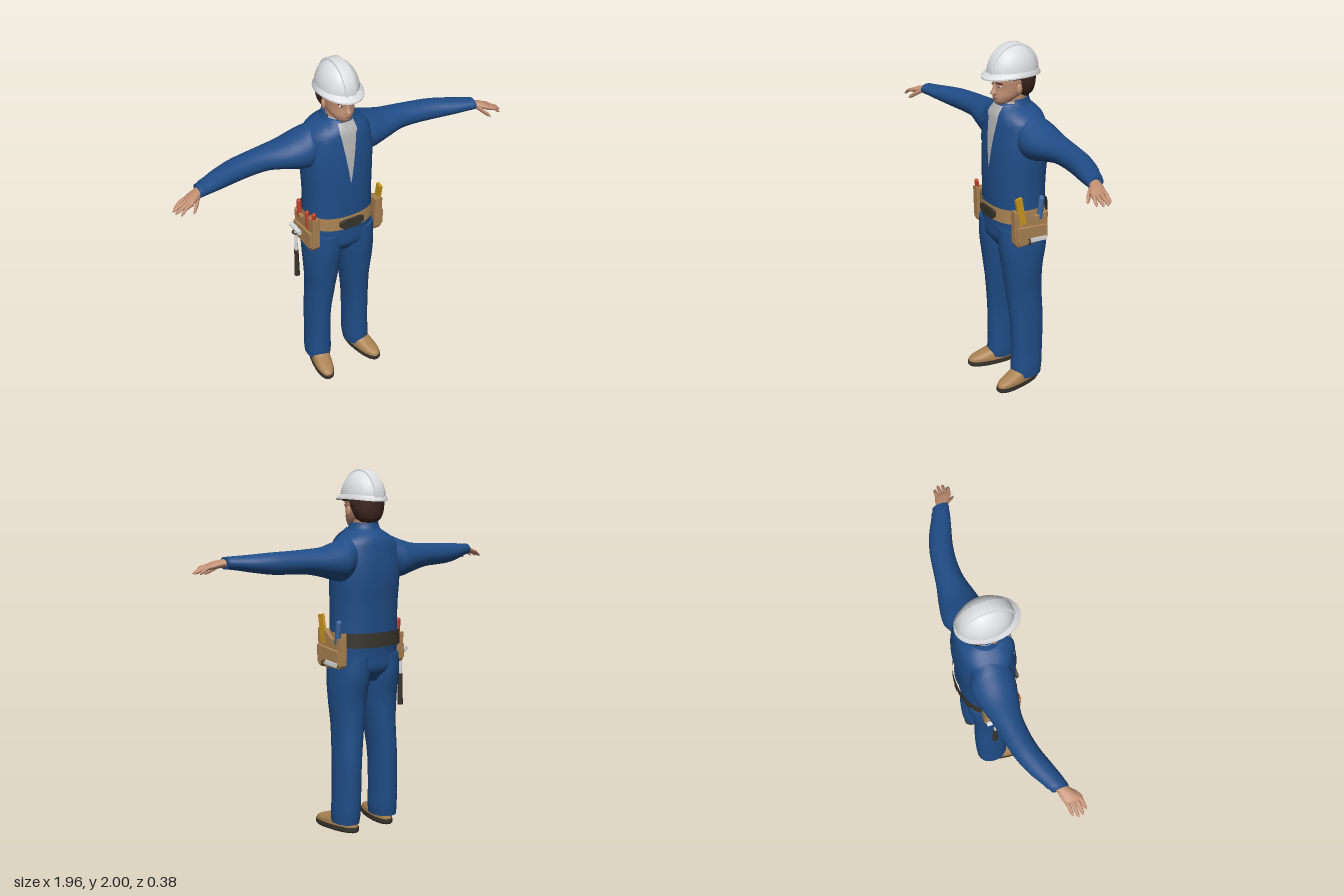
import * as THREE from 'three';
import { toCreasedNormals } from 'three/addons/utils/BufferGeometryUtils.js';

const TAU = Math.PI * 2;
const mat = (name, color, open) => {
  const m = new THREE.MeshStandardMaterial({ color });
  m.name = name;
  if (open) m.side = THREE.DoubleSide;
  return m;
};

// Catmull-Rom blend of section rows; the first value of a row runs linearly
function blend(rows, i, u) {
  const at = k => rows[Math.min(Math.max(k, 0), rows.length - 1)];
  const [a, b, c, d] = [at(i - 1), at(i), at(i + 1), at(i + 2)];
  return b.map((v, k) => {
    if (k === 0) return v + (c[0] - v) * u;
    const cubic = 3 * (v - c[k]) + d[k] - a[k];
    const square = 2 * a[k] - 5 * v + 4 * c[k] - d[k];
    return v + 0.5 * u * (c[k] - a[k] + u * (square + u * cubic));
  });
}

// Superellipse sections [t, centreA, centreB, radiusA, radiusB] swept along y (a = x, b = z) or x (a = y, b = z)
function loft(axis, rows, { n = 32, steps = 4, p = 2, cap = true, arc = [0, TAU] } = {}) {
  const rings = [], pos = [], idx = [];
  for (let i = 0; i < rows.length - 1; i++) for (let s = 0; s < steps; s++) rings.push(blend(rows, i, s / steps));
  rings.push(rows[rows.length - 1]);
  const pow = v => Math.sign(v) * Math.pow(Math.abs(v), 2 / p);
  const put = (t, a, b) => pos.push(...(axis === 'y' ? [a, t, b] : [t, a, b]));
  const ring = ([t, a, b, ra, rb]) => {
    for (let j = 0; j <= n; j++) {
      const w = arc[0] + (arc[1] - arc[0]) * j / n;
      put(t, a + ra * pow(Math.cos(w)), b + rb * pow(Math.sin(w)) * (axis === 'y' ? 1 : -1));
    }
  };
  const full = arc[1] - arc[0] === TAU, m = n + 1;
  const col = j => full ? j % n : j;
  rings.forEach(ring);
  for (let i = 0; i < rings.length - 1; i++) for (let j = 0; j < n; j++) {
    const a = i * m + col(j), b = i * m + col(j + 1);
    idx.push(a, a + m, b, b, a + m, b + m);
  }
  if (cap && full) [rings[0], rings[rings.length - 1]].forEach((r, end) => {
    const c = pos.length / 3;
    put(r[0], r[1], r[2]);
    ring(r);
    for (let j = 0; j < n; j++) idx.push(c, c + 1 + (end ? j + 1 : j), c + 1 + (end ? j : j + 1));
  });
  const g = new THREE.BufferGeometry();
  g.setAttribute('position', new THREE.Float32BufferAttribute(pos, 3));
  g.setIndex(idx);
  g.computeVertexNormals();
  return g;
}

function mirror(src) {
  const g = src.clone().scale(-1, 1, 1);
  const idx = g.index ? Array.from(g.index.array) : Array.from({ length: g.attributes.position.count }, (_, i) => i);
  g.setIndex(idx.reverse());
  return g;
}

const ball = (x, y, z, sx, sy, sz) => new THREE.SphereGeometry(1, 20, 14).scale(sx, sy, sz).translate(x, y, z);

// Outline given as [z, y], thickened along x
function sidePlate(pts, x, depth) {
  const shape = new THREE.Shape(pts.map(([z, y]) => new THREE.Vector2(-z, y)));
  return new THREE.ExtrudeGeometry(shape, { depth, bevelSize: 0.004, bevelThickness: 0.004, bevelSegments: 2 })
    .rotateY(Math.PI / 2).translate(x, 0, 0);
}

const TORSO_P = 2.3;
const torso = [
  [0.85, 0, -0.015, 0.09, 0.09], [0.92, 0, -0.015, 0.19, 0.14], [1.0, 0, -0.015, 0.2, 0.145],
  [1.1, 0, -0.02, 0.196, 0.15], [1.2, 0, -0.02, 0.193, 0.153], [1.3, 0, -0.022, 0.195, 0.155],
  [1.4, 0, -0.027, 0.2, 0.157], [1.5, 0, -0.03, 0.2, 0.152], [1.6, 0, -0.03, 0.185, 0.138],
  [1.64, 0, -0.027, 0.15, 0.125], [1.69, 0, -0.018, 0.075, 0.088]];

// Cloth panel lying on the chest, corners [x, y] in order around it
function chestPanel([a, b, c, d], lift) {
  const g = new THREE.PlaneGeometry(1, 1, 10, 14), P = g.attributes.position;
  for (let k = 0; k < P.count; k++) {
    const u = P.getX(k) + 0.5, v = 0.5 - P.getY(k);
    const mix = e => (a[e] * (1 - u) + b[e] * u) * (1 - v) + (d[e] * (1 - u) + c[e] * u) * v;
    const x = mix(0), y = mix(1);
    let i = 0;
    while (i < torso.length - 2 && y > torso[i + 1][0]) i++;
    const r = blend(torso, i, Math.min((y - torso[i][0]) / (torso[i + 1][0] - torso[i][0]), 1));
    const q = Math.pow(Math.max(1 - Math.pow(Math.abs(x / r[3]), TORSO_P), 0), 1 / TORSO_P);
    P.setXYZ(k, x, y, r[2] + r[4] * q + lift);
  }
  g.computeVertexNormals();
  return g;
}

export function createModel() {
  const model = new THREE.Group();
  model.name = 'worker';
  const suit = mat('blue overalls', 0x204d87, true), skin = mat('skin', 0xc18f73), hair = mat('brown hair', 0x40271f);
  const white = mat('white shell', 0xdcdde0, true), shirt = mat('grey shirt', 0xb4b4b4, true);
  const leather = mat('tan leather', 0xab8353, true), dark = mat('dark rubber', 0x37342b, true);
  const red = mat('red grip', 0xbd3f2c), yellow = mat('yellow rule', 0xcb981f), blue = mat('blue grip', 0x3b649c);
  const add = (name, geo, m) => {
    const mesh = new THREE.Mesh(geo, m);
    mesh.name = name;
    model.add(mesh);
  };
  const pair = (name, geo, m) => { add('left' + name, geo, m); add('right' + name, mirror(geo), m); };

  // Overalls
  add('torso', loft('y', torso, { p: TORSO_P, n: 48 }), suit);
  pair('Leg', loft('y', [
    [0.05, 0.133, -0.024, 0.07, 0.09], [0.1, 0.131, -0.026, 0.074, 0.094], [0.2, 0.129, -0.03, 0.071, 0.095],
    [0.4, 0.126, -0.03, 0.071, 0.1], [0.6, 0.113, -0.018, 0.081, 0.107], [0.75, 0.108, -0.01, 0.097, 0.118],
    [0.88, 0.103, -0.014, 0.103, 0.14], [1.0, 0.1, -0.015, 0.098, 0.143]], { p: 2.15 }), suit);
  pair('Arm', loft('x', [
    [0.1, 1.54, -0.045, 0.115, 0.09], [0.15, 1.527, -0.048, 0.115, 0.105], [0.2, 1.515, -0.053, 0.107, 0.117],
    [0.3, 1.515, -0.055, 0.08, 0.1], [0.4, 1.522, -0.055, 0.066, 0.076], [0.5, 1.522, -0.047, 0.061, 0.067],
    [0.6, 1.522, -0.03, 0.057, 0.065], [0.7, 1.525, 0.002, 0.046, 0.062], [0.8, 1.53, 0.04, 0.034, 0.05],
    [0.83, 1.53, 0.051, 0.032, 0.044]]), suit);
  pair('PocketFlap', chestPanel([[0.06, 1.535], [0.165, 1.535], [0.17, 1.46], [0.065, 1.45]], 0.006), suit);
  pair('Lapel', chestPanel([[0.045, 1.69], [0.08, 1.685], [0.14, 1.6], [0.06, 1.575]], 0.012), suit);
  add('collar', loft('y', [[1.645, 0, -0.02, 0.105, 0.105], [1.69, 0, -0.02, 0.085, 0.09], [1.715, 0, -0.022, 0.077, 0.082]],
    { cap: false, arc: [Math.PI * 0.85, Math.PI * 2.15] }), suit);

  // Shirt
  add('shirtFront', chestPanel([[-0.055, 1.68], [0.055, 1.68], [0.002, 1.34], [-0.002, 1.34]], 0.004), shirt);
  pair('ShirtCollar', chestPanel([[0.005, 1.66], [0.05, 1.688], [0.055, 1.64], [0.03, 1.6]], 0.009), shirt);
  add('shirtNeckband', loft('y', [[1.66, 0, -0.018, 0.075, 0.085], [1.7, 0, -0.018, 0.068, 0.076]], { cap: false }), shirt);

  // Hands
  pair('Palm', loft('x', [[0.81, 1.53, 0.052, 0.022, 0.03], [0.84, 1.528, 0.065, 0.021, 0.034],
    [0.88, 1.52, 0.082, 0.019, 0.043], [0.905, 1.513, 0.09, 0.014, 0.042], [0.915, 1.511, 0.092, 0.005, 0.03]]), skin);
  [[0.055, 0.965, 0.066], [0.08, 0.982, 0.09], [0.103, 0.978, 0.115], [0.122, 0.958, 0.138]].forEach(([z0, x1, z1], i) =>
    pair('Finger' + (i + 1), loft('x', [[0.885, 1.516, z0, 0.01, 0.01], [0.925, 1.508, (z0 + z1) / 2, 0.01, 0.0105],
      [x1 - 0.01, 1.488, z1 - 0.003, 0.008, 0.008], [x1, 1.482, z1, 0.002, 0.002]], { n: 12 }), skin));
  pair('Thumb', loft('x', [[0.835, 1.522, 0.085, 0.014, 0.013], [0.86, 1.503, 0.112, 0.014, 0.014],
    [0.885, 1.483, 0.135, 0.011, 0.011], [0.896, 1.475, 0.144, 0.003, 0.003]], { n: 12 }), skin);

  // Head
  add('neck', loft('y', [[1.62, 0, -0.025, 0.066, 0.07], [1.69, 0, -0.02, 0.058, 0.064], [1.76, 0, -0.02, 0.06, 0.066]]), skin);
  add('head', loft('y', [[1.682, 0, 0.058, 0.022, 0.022], [1.7, 0, 0.043, 0.046, 0.052], [1.73, 0, 0.02, 0.067, 0.08],
    [1.77, 0, -0.005, 0.08, 0.1], [1.82, 0, -0.01, 0.088, 0.109], [1.88, 0, -0.01, 0.086, 0.108]]), skin);
  add('hair', loft('y', [[1.715, 0, -0.065, 0.045, 0.045], [1.735, 0, -0.062, 0.068, 0.066], [1.77, 0, -0.058, 0.086, 0.08],
    [1.81, 0, -0.05, 0.095, 0.092], [1.86, 0, -0.045, 0.097, 0.1]]), hair);
  add('nose', loft('y', [[1.735, 0, 0.09, 0.012, 0.012], [1.746, 0, 0.097, 0.018, 0.024],
    [1.77, 0, 0.094, 0.011, 0.016], [1.805, 0, 0.091, 0.008, 0.008]], { n: 16 }), skin);
  add('mouth', ball(0, 1.718, 0.092, 0.022, 0.0025, 0.008), hair);
  pair('Ear', ball(0.089, 1.775, 0, 0.01, 0.028, 0.017), skin);
  pair('Eye', ball(0.033, 1.787, 0.083, 0.012, 0.005, 0.008), white);
  pair('Iris', ball(0.033, 1.787, 0.0885, 0.005, 0.005, 0.004), hair);
  pair('Brow', new THREE.BoxGeometry(0.034, 0.006, 0.012).rotateY(0.35).translate(0.035, 1.805, 0.088), hair);

  // Hard hat
  add('hatDome', new THREE.SphereGeometry(1, 40, 16, 0, TAU, 0, Math.PI / 2).scale(0.108, 0.147, 0.144).translate(0, 1.848, -0.015), white);
  const ridge = new THREE.Shape().absellipse(0, 0, 0.142, 0.147, 0, Math.PI, false);
  add('hatRidge', toCreasedNormals(new THREE.ExtrudeGeometry(ridge, { depth: 0.05, curveSegments: 32, bevelSize: 0.004,
    bevelThickness: 0.006, bevelSegments: 2 }).rotateY(Math.PI / 2).translate(-0.025, 1.849, -0.015), 0.7), white);
  const brim = loft('y', [[1.84, 0, -0.012, 0.1, 0.135], [1.84, 0, -0.004, 0.119, 0.168], [1.848, 0, -0.004, 0.119, 0.168],
    [1.868, 0, -0.015, 0.106, 0.142]], { steps: 1, cap: false, n: 48 });
  const B = brim.attributes.position;
  for (let i = 0; i < B.count; i++) B.setY(i, B.getY(i) - 0.4 * B.getZ(i) * B.getZ(i));
  add('hatBrim', toCreasedNormals(brim, 0.6), white);
  add('hatLiner', loft('y', [[1.828, 0, -0.015, 0.1, 0.128], [1.86, 0, -0.015, 0.104, 0.136]], { steps: 1 }), dark);

  // Boots, toes turned out
  const boot = rows => loft('y', rows, { p: 2.3 }).rotateY(0.18).translate(0.135, 0, 0);
  pair('BootSole', boot([[0, 0, 0.04, 0.052, 0.148], [0.008, 0, 0.04, 0.056, 0.154], [0.03, 0, 0.04, 0.055, 0.153]]), dark);
  pair('BootUpper', boot([[0.028, 0, 0.04, 0.053, 0.15], [0.05, 0, 0.036, 0.053, 0.143], [0.07, 0, 0.015, 0.05, 0.115],
    [0.09, 0, -0.012, 0.048, 0.085], [0.13, 0, -0.025, 0.046, 0.065]]), leather);

  // Tool belt
  const belt = (arc, grow) => loft('y', [[1.05, 0, -0.02, 0.206 + grow, 0.166 + grow], [1.13, 0, -0.02, 0.203 + grow, 0.163 + grow]],
    { p: TORSO_P, steps: 2, cap: false, arc, n: 40 });
  add('beltFront', belt([-0.5, Math.PI + 0.5], 0), leather);
  add('beltBack', belt([Math.PI + 0.5, TAU - 0.5], 0.001), dark);
  [4.2, 4.71, 5.2].forEach((w, i) => add('beltLoop' + (i + 1), belt([w - 0.06, w + 0.06], 0.005), dark));
  const buckle = new THREE.Shape([[-0.07, 1.1], [-0.04, 1.11], [0.04, 1.11], [0.07, 1.1], [0.07, 1.075], [0.045, 1.055],
    [-0.045, 1.055], [-0.07, 1.075]].map(q => new THREE.Vector2(...q)));
  add('buckle', new THREE.ExtrudeGeometry(buckle, { depth: 0.012, bevelSize: 0.003, bevelThickness: 0.003 }).translate(0, 0, 0.138), dark);
  pair('Pouch', sidePlate([[0.105, 1.14], [0.04, 1.13], [-0.02, 1.09], [-0.1, 1.1], [-0.1, 0.955], [-0.085, 0.94],
    [0.085, 0.935], [0.1, 0.955]], 0.18, 0.035), leather);
  pair('PouchPocket', sidePlate([[0.095, 1.05], [-0.09, 1.03], [-0.09, 0.96], [-0.075, 0.948], [0.08, 0.945], [0.095, 0.965]],
    0.21, 0.018), leather);

  // Tools
  const rod = (r, h, x, y, z, tilt) => new THREE.CapsuleGeometry(r, h - 2 * r, 6, 14).rotateX(tilt).translate(x, y, z);
  add('foldingRule', new THREE.BoxGeometry(0.016, 0.16, 0.04).rotateX(0.18).translate(0.212, 1.14, 0.07), yellow);
  add('blueHandle', rod(0.017, 0.14, 0.205, 1.13, -0.063, -0.12), blue);
  add('pouchClip', new THREE.BoxGeometry(0.008, 0.022, 0.1).rotateX(-0.08).translate(0.236, 0.962, -0.035), white);
  add('pouchRing', new THREE.TorusGeometry(0.014, 0.004, 8, 20).translate(0.236, 0.96, 0.03), dark);
  add('pliersGripFront', rod(0.012, 0.13, -0.205, 1.12, 0.085, 0.15), red);
  add('pliersGripBack', rod(0.012, 0.12, -0.215, 1.11, 0.04, -0.1), red);
  add('screwdriverGrip', rod(0.014, 0.12, -0.208, 1.12, -0.065, -0.08), red);
  add('hammerShaft', new THREE.CylinderGeometry(0.009, 0.009, 0.2, 14).translate(-0.242, 0.92, -0.05), white);
  add('hammerGrip', new THREE.CylinderGeometry(0.012, 0.016, 0.18, 16).translate(-0.242, 0.765, -0.05), dark);
  add('hammerHead', new THREE.CylinderGeometry(0.014, 0.014, 0.1, 16).rotateX(Math.PI / 2).translate(-0.242, 1.005, -0.05), white);
  add('hammerLoop', new THREE.TorusGeometry(0.018, 0.005, 8, 20).rotateX(Math.PI / 2).translate(-0.242, 0.98, -0.05), dark);
  return model;
}
